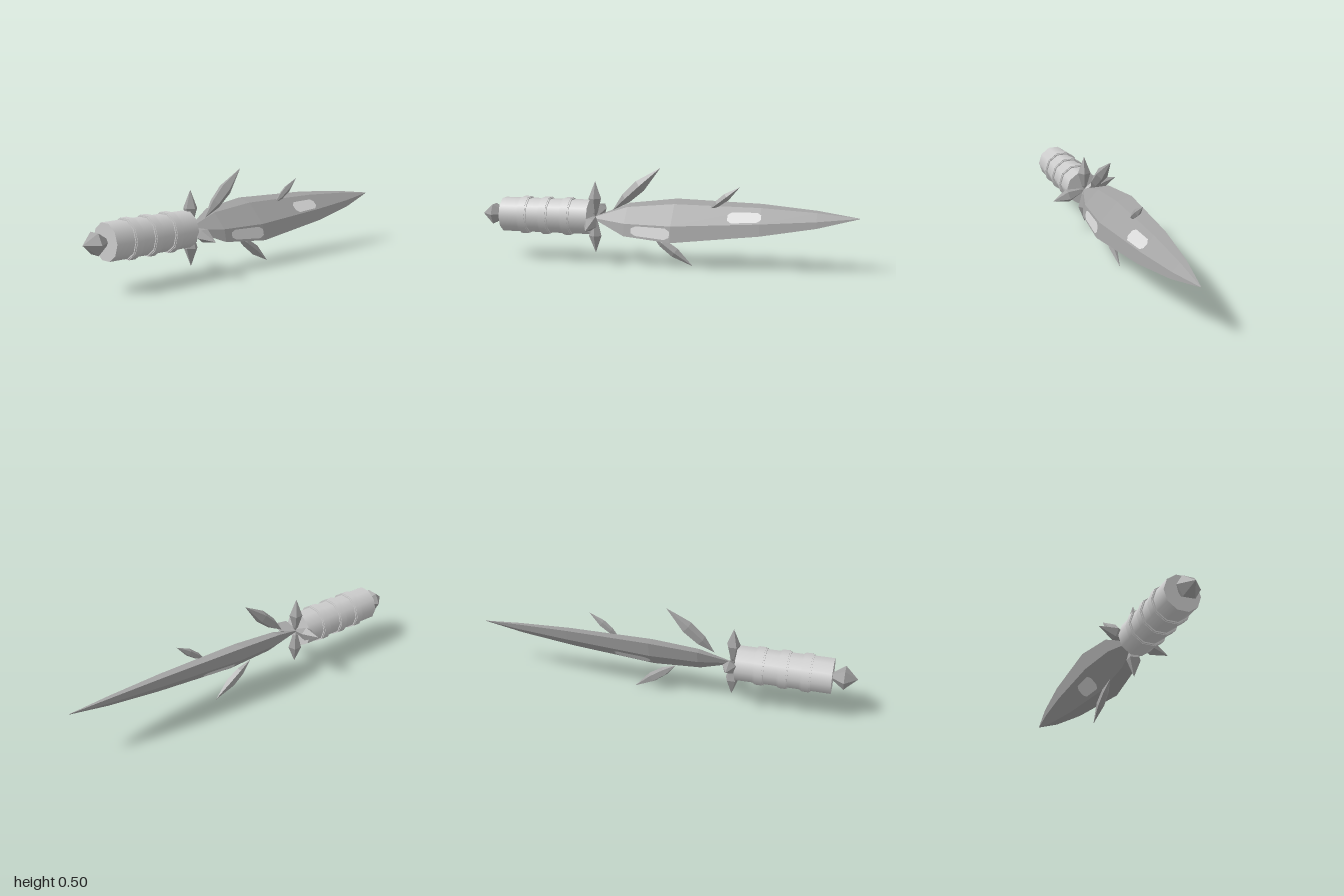
import * as THREE from 'three';

const gripPaint = new THREE.MeshStandardMaterial({ name: 'light grey grip', color: 0xcccccc });
const crystalPaint = new THREE.MeshStandardMaterial({ name: 'grey crystal', color: 0xa2a2a2, flatShading: true });
const facetPaint = new THREE.MeshStandardMaterial({ name: 'pale facet', color: 0xd8d8d8, side: THREE.DoubleSide });

const AXIS_Y = 0.24;

// Blade stations: x, centre height, half width
const STATIONS = [
  [-0.37, 0.235, 0.012], [-0.2, 0.234, 0.108], [0.05, 0.237, 0.142],
  [0.5, 0.256, 0.102], [0.78, 0.268, 0.056], [0.99, 0.28, 0.002],
];

// Point on the tilted six-sided blade: u runs edge to edge, side is front (+1) or back (-1)
function bladePoint(x, u, side, lift = 0) {
  let i = 0;
  while (i < STATIONS.length - 2 && x > STATIONS[i + 1][0]) i++;
  const [x0, y0, w0] = STATIONS[i], [x1, y1, w1] = STATIONS[i + 1];
  const t = (x - x0) / (x1 - x0);
  const w = w0 + (w1 - w0) * t;
  const a = u * w;
  const p = side * (0.32 * w * Math.min(1, 2 - 2 * Math.abs(u)) + lift);
  return [x, y0 + (y1 - y0) * t + 0.71 * (a + p), 0.69 * (p - a)];
}

function surface(points, index) {
  const geo = new THREE.BufferGeometry();
  geo.setAttribute('position', new THREE.Float32BufferAttribute(points.flat(), 3));
  geo.setIndex(index);
  geo.computeVertexNormals();
  return geo;
}

function bladeGeometry() {
  const ring = [[1, 1], [0.5, 1], [-0.5, 1], [-1, 1], [-0.5, -1], [0.5, -1]];
  const points = [], index = [];
  STATIONS.forEach(([x], i) => {
    ring.forEach(([u, side], j) => {
      points.push(bladePoint(x, u, side));
      if (i === STATIONS.length - 1) return;
      const a = i * 6 + j, b = i * 6 + (j + 1) % 6;
      index.push(a, b, a + 6, b, b + 6, a + 6);
    });
  });
  return surface(points, index);
}

// Pale patch with cut corners lying just above one blade face
function patchGeometry(x0, x1, u0, u1, side) {
  const corners = [[0.12, 0], [0.88, 0], [1, 0.25], [1, 0.75], [0.88, 1], [0.12, 1], [0, 0.75], [0, 0.25]];
  const points = corners.map(([s, t]) => bladePoint(x0 + (x1 - x0) * s, u0 + (u1 - u0) * t, side, 0.003));
  const index = [];
  for (let i = 1; i < 7; i++) index.push(0, ...(side > 0 ? [i, i + 1] : [i + 1, i]));
  return surface(points, index);
}

// Faceted crystal from base to tip; profile gives [radius, fraction of length]
function crystal(name, base, tip, profile, sides, flatten = 1) {
  const from = new THREE.Vector3(...base);
  const dir = new THREE.Vector3(...tip).sub(from);
  const length = dir.length();
  const geo = new THREE.LatheGeometry(profile.map(([r, f]) => new THREE.Vector2(r, f * length)), sides);
  geo.scale(1, 1, flatten);
  const mesh = new THREE.Mesh(geo, crystalPaint);
  mesh.name = name;
  mesh.position.copy(from);
  mesh.quaternion.setFromUnitVectors(new THREE.Vector3(0, 1, 0), dir.normalize());
  return mesh;
}

export function createModel() {
  const group = new THREE.Group();
  group.name = 'crystalDagger';
  const add = (name, geo, mat) => {
    const mesh = new THREE.Mesh(geo, mat);
    mesh.name = name;
    group.add(mesh);
    return mesh;
  };

  // Ten-sided grip with three raised bands
  const barrel = (name, x0, x1, r) => {
    const geo = new THREE.CylinderGeometry(r, r, x1 - x0, 10);
    geo.rotateZ(-Math.PI / 2);
    add(name, geo, gripPaint).position.set((x0 + x1) / 2, AXIS_Y, 0);
  };
  barrel('grip', -0.877, -0.395, 0.092);
  [-0.751, -0.636, -0.516].forEach((x, i) => {
    barrel('gripBand' + (i + 1), x - 0.025, x + 0.025, 0.098);
    barrel('gripBandCore' + (i + 1), x - 0.018, x + 0.018, 0.101);
  });

  // Pommel crystal
  group.add(crystal('pommel', [-0.865, AXIS_Y, 0], [-1, AXIS_Y, 0], [[0.012, 0], [0.06, 0.52], [0, 1]], 6));

  // Guard: four crystals fanned around the axis
  const guardProfile = [[0, 0], [0.014, 0.12], [0.036, 0.52], [0, 1]];
  [[0.19, 0], [-0.19, 0], [-0.045, 0.184], [0.045, -0.184]].forEach(([y, z], i) =>
    group.add(crystal('guardCrystal' + (i + 1), [-0.37, AXIS_Y, 0], [-0.37, AXIS_Y + y, z], guardProfile, 5)));

  // Blade and its pale facets
  add('blade', bladeGeometry(), crystalPaint);
  add('frontFacet', patchGeometry(0.335, 0.505, -0.42, 0.18, 1), facetPaint);
  add('lowerFacet', patchGeometry(-0.16, 0.045, -0.94, -0.58, 1), facetPaint);
  add('backFacet', patchGeometry(0.06, 0.25, -0.35, 0.25, -1), facetPaint);

  // Side spikes growing beside the blade
  const spike = r => [[0, 0], [r * 0.85, 0.28], [r, 0.58], [0, 1]];
  group.add(
    crystal('upperSpike', [-0.275, 0.28, 0], [-0.022, 0.507, -0.012], spike(0.034), 5, 0.95),
    crystal('smallSpike', [0.23, 0.295, -0.01], [0.392, 0.42, -0.005], spike(0.02), 5, 0.8),
    crystal('lowerSpike', [-0.07, 0.165, 0.008], [0.153, 0.003, 0.01], spike(0.028), 5, 0.75),
  );
  return group;
}
